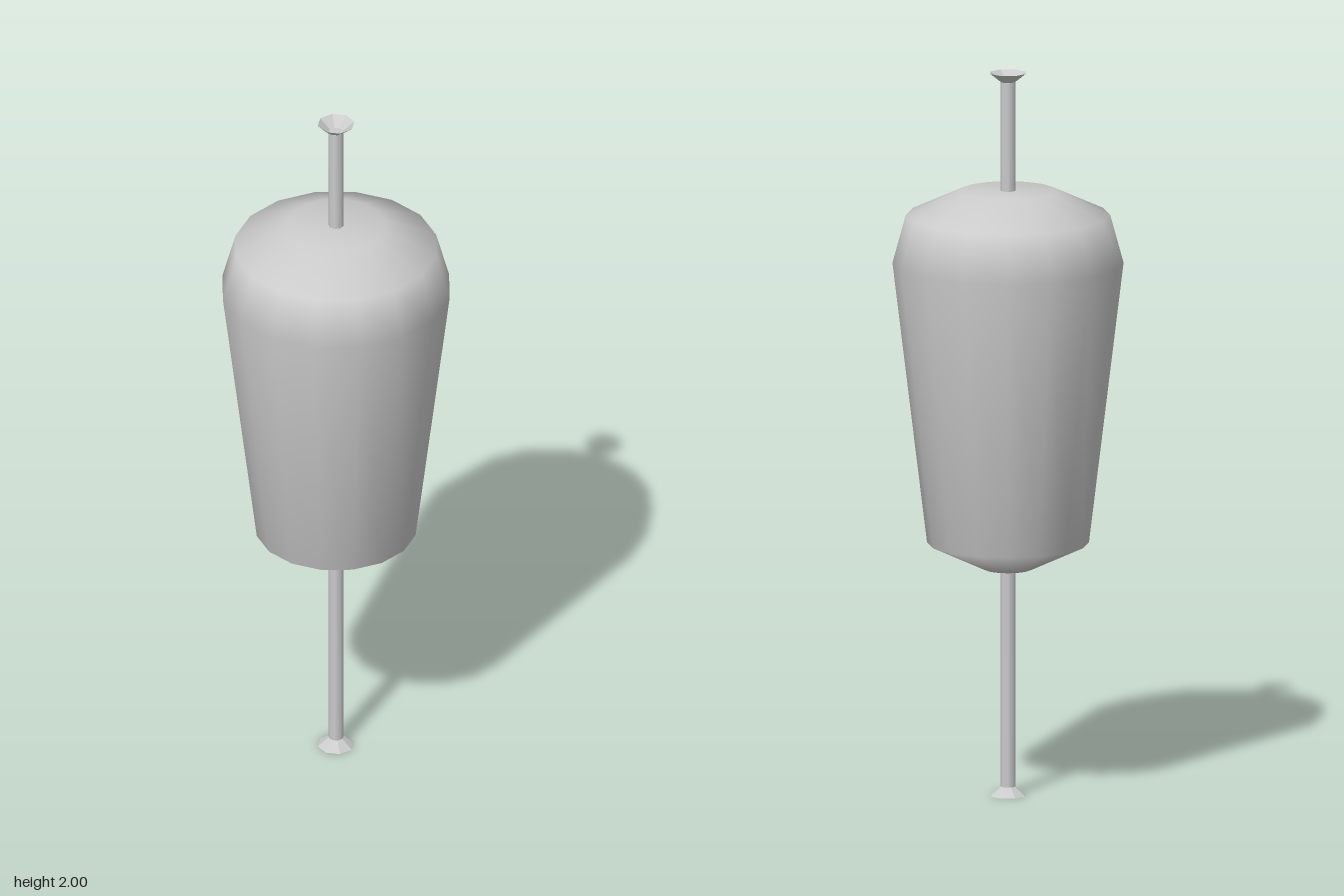
import * as THREE from 'three';

export function createModel() {
  const group = new THREE.Group();
  const smooth = new THREE.MeshStandardMaterial({ color: 0xcccccc });
  const faceted = new THREE.MeshStandardMaterial({
    color: 0xcccccc, flatShading: true, side: THREE.DoubleSide,
  });

  function add(name, geometry, material, y = 0) {
    const mesh = new THREE.Mesh(geometry, material);
    mesh.name = name;
    mesh.position.y = y;
    group.add(mesh);
    return mesh;
  }

  // Tapered body with rounded shoulders, listed bottom to top
  const profile = [
    [0, 0.627], [0.065, 0.627], [0.22, 0.70],
    [0.314, 1.474], [0.278, 1.606], [0.132, 1.674], [0, 1.674],
  ].map(([r, y]) => new THREE.Vector2(r, y));
  add('body', new THREE.LatheGeometry(profile, 16), smooth);

  // Thin rod running right through the body
  const rod = add('rod', new THREE.CylinderGeometry(0.021, 0.021, 1.95, 8), smooth, 1);
  rod.rotation.y = Math.PI / 8;

  // Open flared dish at each end of the rod
  const flare = 0.025;
  add('topFlare', new THREE.CylinderGeometry(0.051, 0.02, flare, 8, 1, true), faceted, 2 - flare / 2);
  add('bottomFlare', new THREE.CylinderGeometry(0.02, 0.051, flare, 8, 1, true), faceted, flare / 2);

  return group;
}
